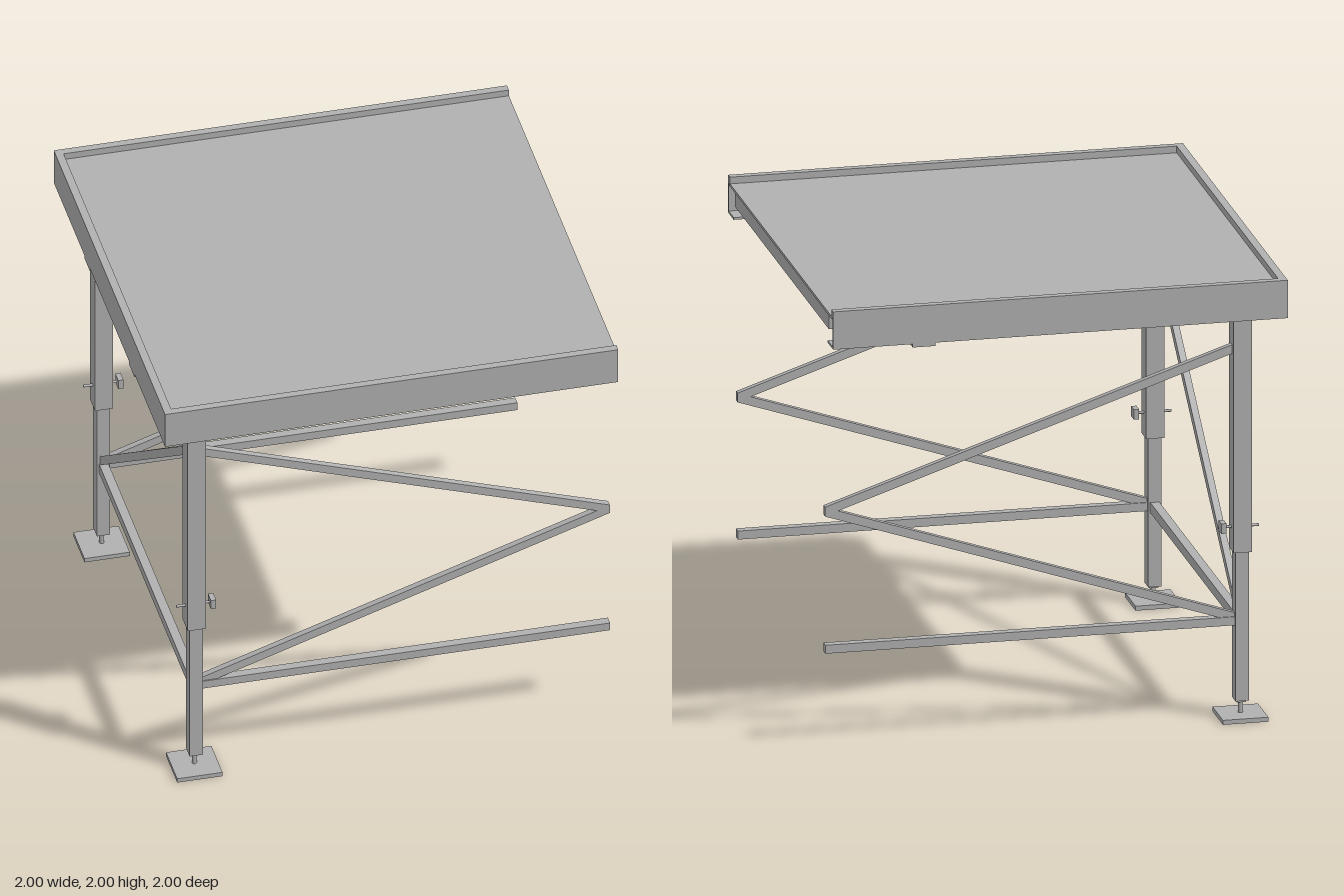
import * as THREE from 'three';

export function createModel() {
  const model = new THREE.Group();
  model.name = 'stagePlatform';
  const steel = new THREE.MeshStandardMaterial({ color: 0xb0b0b0 });
  steel.name = 'grey steel';

  // Box given by its limits on each axis
  const box = (name, x0, x1, y0, y1, z0, z1, parent = model) => {
    const mesh = new THREE.Mesh(new THREE.BoxGeometry(x1 - x0, y1 - y0, z1 - z0), steel);
    mesh.position.set((x0 + x1) / 2, (y0 + y1) / 2, (z0 + z1) / 2);
    mesh.name = name;
    parent.add(mesh);
    return mesh;
  };

  // Sloping bar with upright cut ends, drawn in the xy plane
  const slopingBar = (name, a, b, height, depth) => {
    const h = height / 2;
    const shape = new THREE.Shape([
      new THREE.Vector2(a[0], a[1] - h), new THREE.Vector2(b[0], b[1] - h),
      new THREE.Vector2(b[0], b[1] + h), new THREE.Vector2(a[0], a[1] + h),
    ]);
    const geo = new THREE.ExtrudeGeometry(shape, { depth, bevelEnabled: false });
    geo.translate(0, 0, -depth / 2);
    const mesh = new THREE.Mesh(geo, steel);
    mesh.name = name;
    model.add(mesh);
    return mesh;
  };

  // Deck and the beams below it
  box('deckPanel', -0.97, 1, 1.958, 1.97, -0.97, 0.97);
  box('middleBeam', -0.03, 0.03, 1.89, 1.958, -0.895, 0.895);
  box('edgeBeam', 0.955, 0.995, 1.89, 1.958, -0.895, 0.895);

  // Folded edge channels: web, top rim and bottom flange
  const T = 0.01;
  for (const s of [1, -1]) {
    const span = (a, b) => (s > 0 ? [a, b] : [-b, -a]);
    box('sideWeb', -1, 1, 1.83, 2, ...span(1 - T, 1));
    box('sideRim', -0.99, 1, 1.965, 2, ...span(0.965, 0.992));
    box('sideFlange', -0.99, 1, 1.83, 1.84, ...span(0.895, 0.992));
  }
  box('endWeb', -1, -1 + T, 1.83, 2, -0.99, 0.99);
  box('endRim', -0.992, -0.965, 1.965, 2, -0.966, 0.966);
  box('endFlange', -0.992, -0.895, 1.83, 1.84, -0.896, 0.896);

  // Joining plates below the channels
  box('joiningPlate', 0.55, 0.65, 1.815, 1.83, -1, -0.89);
  for (const z of [0.4, -0.4]) box('joiningPlate', -1, -0.89, 1.815, 1.83, z - 0.05, z + 0.05);

  // Telescopic legs with clamp screws and levelling feet
  const X = -0.83;
  for (const z of [0.833, -0.833]) {
    const leg = new THREE.Group();
    leg.name = z > 0 ? 'frontLeg' : 'backLeg';
    leg.position.set(X, 0, z);
    model.add(leg);
    const part = (name, w, y0, y1, d) => box(name, -w / 2, w / 2, y0, y1, -d / 2, d / 2, leg);
    part('legHead', 0.1, 1.83, 1.958, 0.115);
    part('capPlate', 0.11, 1.818, 1.84, 0.135);
    part('outerTube', 0.08, 0.75, 1.82, 0.09);
    part('innerTube', 0.058, 0.08, 0.76, 0.07);
    part('footNut', 0.04, 0.07, 0.082, 0.04);
    const rod = new THREE.Mesh(new THREE.CylinderGeometry(0.011, 0.011, 0.08, 12), steel);
    rod.position.y = 0.045;
    rod.name = 'footScrew';
    leg.add(rod);
    part('footPlate', 0.2, 0, 0.02, 0.2);
    box('latch', -0.075, -0.05, 1.8, 1.832, 0.06, 0.11, leg);
    const screw = new THREE.Mesh(new THREE.CylinderGeometry(0.006, 0.006, 0.15, 10), steel);
    screw.rotation.z = Math.PI / 2;
    screw.position.set(-0.005, 0.857, 0);
    screw.name = 'clampScrew';
    leg.add(screw);
    box('clampKnob', 0.067, 0.09, 0.835, 0.88, -0.027, 0.027, leg);

    // Long rail and V bracing on this side
    box('longRail', -0.805, 1, 0.418, 0.456, z - 0.02, z + 0.02);
    slopingBar('upperBrace', [-0.795, 1.66], [1, 1.055], 0.04, 0.03).position.z = z;
    slopingBar('lowerBrace', [-0.805, 0.452], [1, 1.053], 0.04, 0.03).position.z = z;
  }

  // Cross rail and diagonal between the legs
  box('crossRail', X - 0.02, X + 0.02, 0.415, 0.46, -0.8, 0.8);
  const diagonal = slopingBar('crossBrace', [-0.795, 1.645], [0.8, 0.475], 0.047, 0.03);
  diagonal.rotation.y = Math.PI / 2;
  diagonal.position.x = X;

  return model;
}
